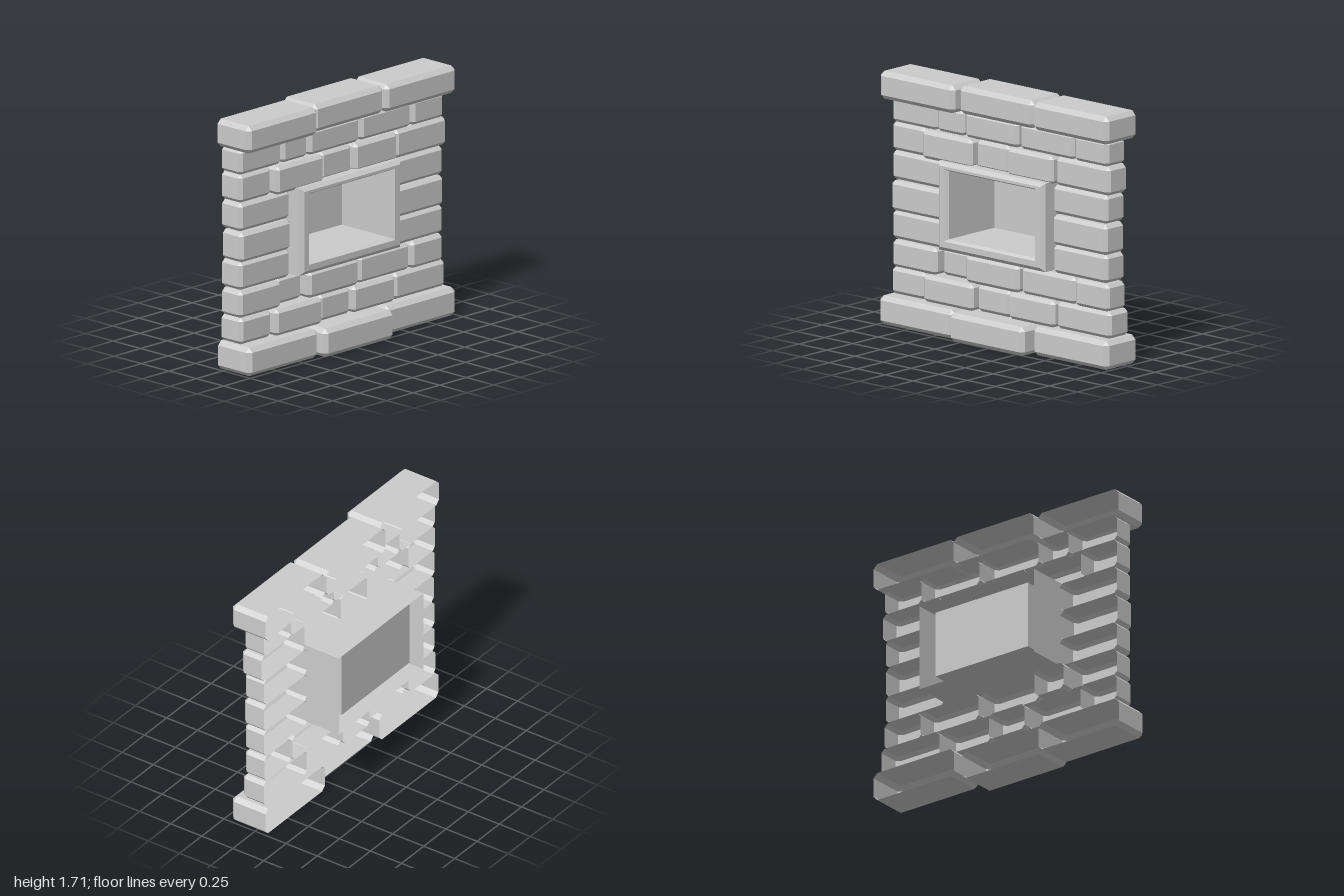
import * as THREE from 'three';

const material = new THREE.MeshStandardMaterial({ color: 0xcccccc, flatShading: true, side: THREE.DoubleSide });

// Rectangle in the plane at x, with corners cut by c, counter-clockwise seen from +x
function ring(x, zMax, zMin, y0, y1, c = 0) {
  return [
    [zMax, y0 + c], [zMax - c, y0], [zMin + c, y0], [zMin, y0 + c],
    [zMin, y1 - c], [zMin + c, y1], [zMax - c, y1], [zMax, y1 - c],
  ].map(([z, y]) => new THREE.Vector3(x, y, z));
}

// Skin over successive rings, closed at the last one and open at the first
function loft(rings) {
  const points = [];
  const triangle = (a, b, c) => {
    if (new THREE.Triangle(a, b, c).getArea() > 1e-7) points.push(a, b, c);
  };
  for (let r = 0; r < rings.length - 1; r++) {
    const a = rings[r], b = rings[r + 1];
    for (let i = 0; i < 8; i++) {
      const j = (i + 1) % 8;
      triangle(a[i], a[j], b[j]);
      triangle(a[i], b[j], b[i]);
    }
  }
  const cap = rings[rings.length - 1];
  for (let i = 1; i < 7; i++) triangle(cap[0], cap[i], cap[i + 1]);
  const geometry = new THREE.BufferGeometry().setFromPoints(points);
  geometry.computeVertexNormals();
  return geometry;
}

function addMesh(parent, name, geometry) {
  const mesh = new THREE.Mesh(geometry, material);
  mesh.name = name;
  parent.add(mesh);
}

// Bevelled stone, hollow and open at the back
function addBrick(parent, name, zMax, zMin, y0, y1, front, depth, c) {
  addMesh(parent, name, loft([
    ring(front - depth, zMax, zMin, y0, y1, c),
    ring(front - c, zMax, zMin, y0, y1, c),
    ring(front, zMax - c, zMin + c, y0 + c, y1 - c),
  ]));
}

export function createModel() {
  const model = new THREE.Group();
  model.name = 'stoneFireplace';

  // Each course: bottom, top, and stones as [zMax, zMin, front x]
  const long = [[1, 0.335], [0.333, -0.33], [-0.332, -1]];
  const five = [[0.975, 0.58], [0.575, 0.335], [0.325, -0.15], [-0.162, -0.64], [-0.645, -0.945]];
  const shifted = [[0.975, 0.677], [0.67, 0.226], [0.22, -0.073], [-0.075, -0.48], [-0.485, -0.965]];
  const sides = [[0.975, 0.5], [-0.457, -0.94]];
  const courses = [
    { name: 'baseStone', y0: 0, y1: 0.195, spans: long, fronts: [0.24, 0.285, 0.2], depth: 0.283, c: 0.03 },
    { name: 'lowerBrick', y0: 0.195, y1: 0.375, spans: shifted, fronts: [0.14, 0.17, 0.13, 0.15, 0.13], depth: 0.175 },
    { name: 'hearthBrick', y0: 0.373, y1: 0.557, spans: five, fronts: [0.135, 0.08, 0.135, 0.12, 0.13], depth: 0.165 },
    { name: 'sideBrickLow', y0: 0.565, y1: 0.755, spans: sides, fronts: [0.135, 0.135], depth: 0.165 },
    { name: 'sideBrickMiddle', y0: 0.755, y1: 0.957, spans: sides, fronts: [0.145, 0.14], depth: 0.168 },
    { name: 'sideBrickHigh', y0: 0.965, y1: 1.157, spans: sides, fronts: [0.135, 0.135], depth: 0.165 },
    { name: 'lintelBrick', y0: 1.16, y1: 1.352, spans: shifted, fronts: [0.135, 0.18, 0.14, 0.165, 0.14], depth: 0.167 },
    { name: 'upperBrick', y0: 1.35, y1: 1.523, spans: five, fronts: [0.135, 0.135, 0.138, 0.135, 0.135], depth: 0.166 },
    { name: 'mantelStone', y0: 1.517, y1: 1.705, spans: long, fronts: [0.235, 0.19, 0.2], depth: 0.283, c: 0.03 },
  ];
  for (const { name, y0, y1, spans, fronts, depth, c = 0.024 } of courses) {
    const course = new THREE.Group();
    course.name = name + 'Course';
    spans.forEach(([zMax, zMin], i) => addBrick(course, name, zMax, zMin, y0, y1, fronts[i], depth, c));
    model.add(course);
  }

  // Firebox: outer casing open at the back, bevelled frame, recess and its rear panel
  addMesh(model, 'firebox', loft([
    ring(-0.288, 0.49, -0.46, 0.58, 1.177),
    ring(0.2, 0.49, -0.46, 0.58, 1.177),
    ring(0.225, 0.463, -0.433, 0.607, 1.153),
    ring(0.225, 0.423, -0.388, 0.647, 1.135),
    ring(0.2, 0.4, -0.365, 0.662, 1.122),
    ring(-0.24, 0.4, -0.365, 0.662, 1.122),
  ]));
  return model;
}
